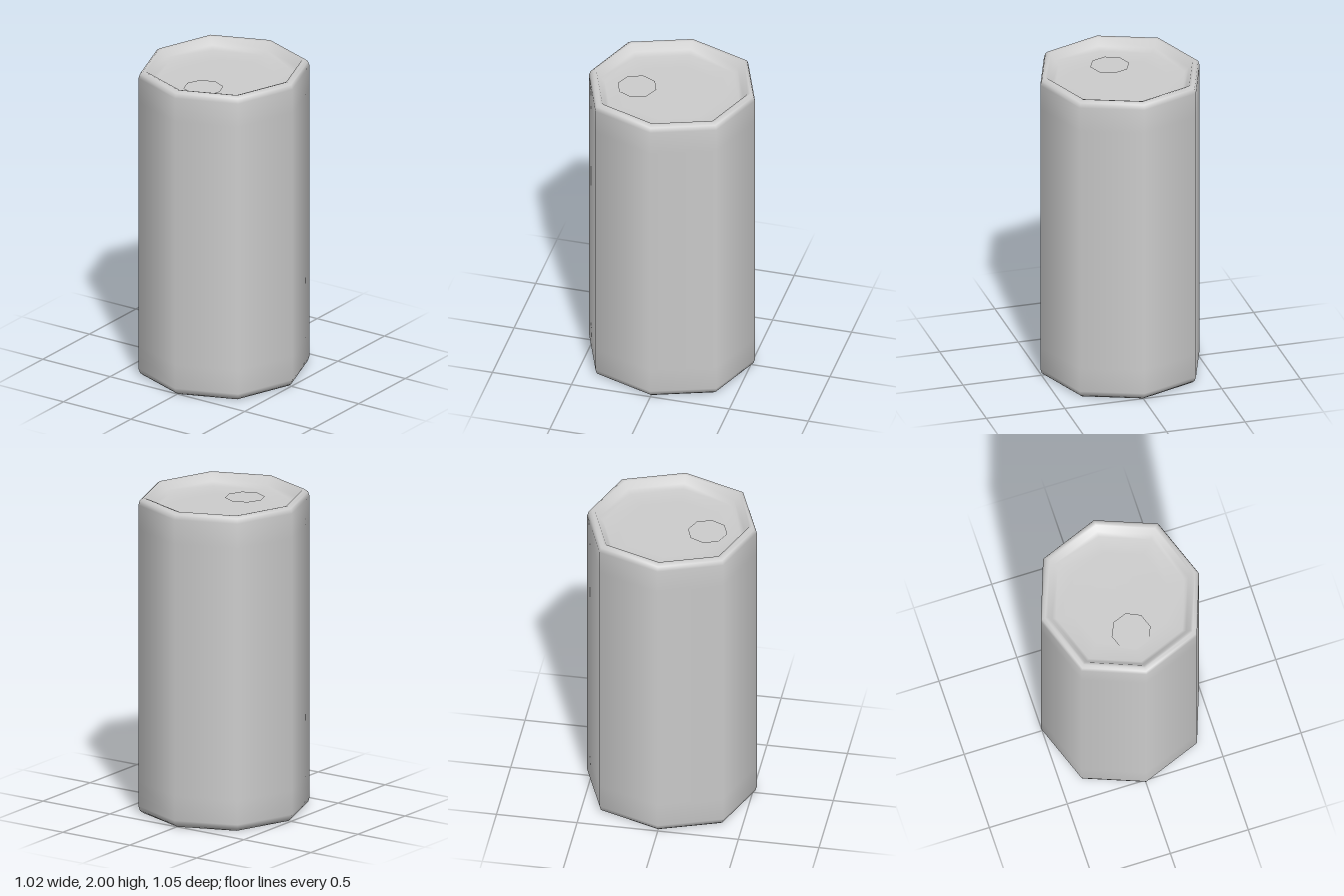
import * as THREE from 'three';

const material = new THREE.MeshStandardMaterial({ color: 0xcccccc });

// Eight-sided revolved shell; the side corners sit slightly further in than the rest.
function octagonShell(profile) {
  const points = profile.map(([r, y]) => new THREE.Vector2(r, y));
  const geometry = new THREE.LatheGeometry(points, 8);
  const p = geometry.attributes.position;
  for (let i = 0; i < p.count; i++) {
    const x = p.getX(i), z = p.getZ(i);
    p.setX(i, x * (Math.abs(z) < 1e-4 ? 0.508 : 0.5235));
    p.setZ(i, z * (Math.abs(x) < 1e-4 ? 0.526 : 0.5417));
  }
  return geometry;
}

export function createModel() {
  const can = new THREE.Group();
  can.name = 'drinkCan';

  // Upper half of the profile, from the wall over the rim to the recessed lid
  const upper = [
    [1, 1.8], [1, 1.955], [0.982, 1.985], [0.945, 2], [0.91, 1.995],
    [0.86, 1.95], [0.81, 1.925], [0.6, 1.917], [0, 1.915],
  ];
  // The base mirrors the lid
  const lower = upper.map(([r, y]) => [r, 2 - y]).reverse();

  const body = new THREE.Mesh(octagonShell([...lower, ...upper]), material);
  body.name = 'canBody';
  can.add(body);

  // Drinking opening, a thin octagon lying on the lid towards the front
  const disc = new THREE.CircleGeometry(0.123, 8, Math.PI / 2 - 0.045);
  disc.rotateX(-Math.PI / 2);
  const opening = new THREE.Mesh(disc, material);
  opening.name = 'drinkOpening';
  opening.position.set(0, 1.926, 0.221);
  can.add(opening);

  return can;
}
